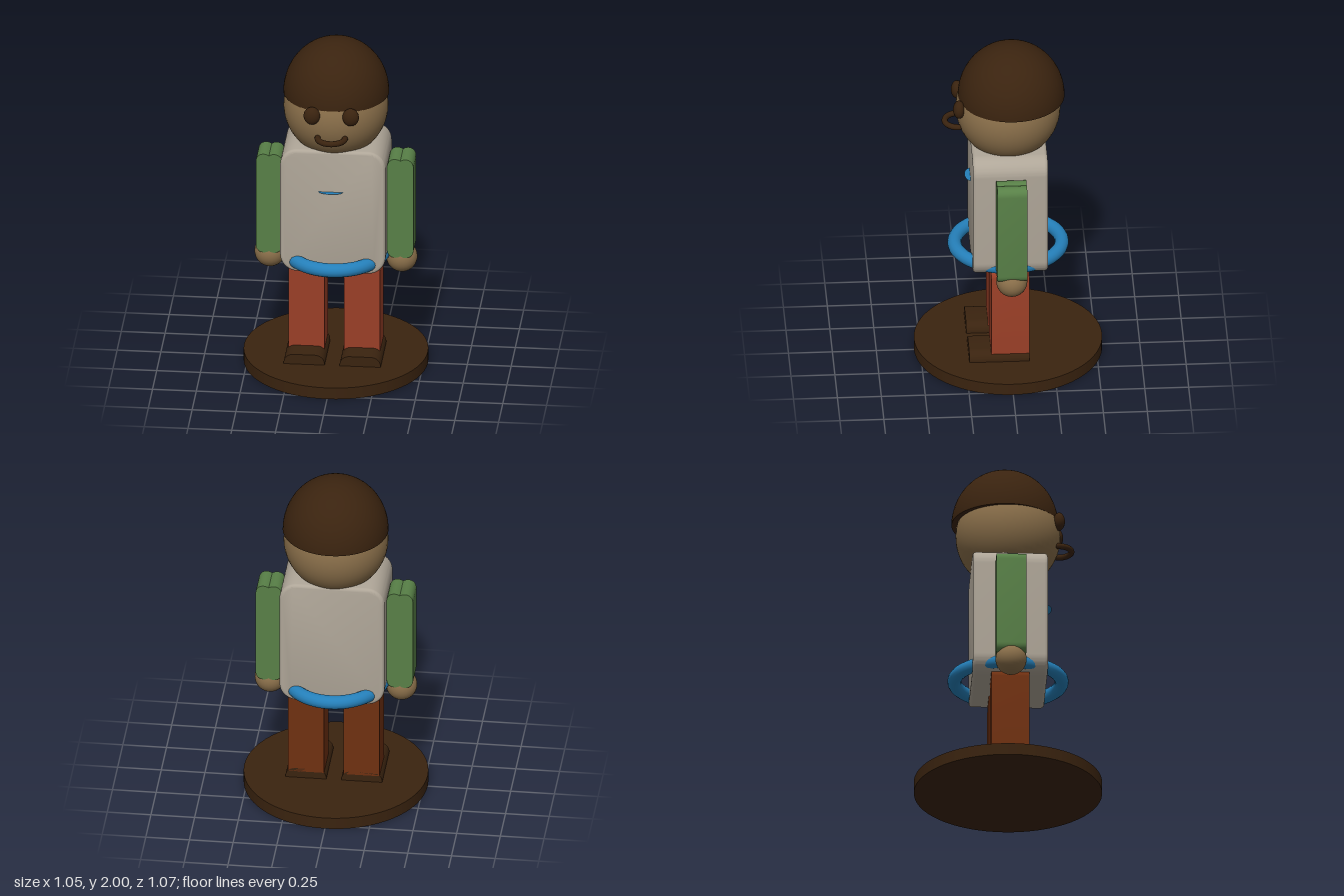
import * as THREE from 'three';
import { toCreasedNormals } from 'three/addons/utils/BufferGeometryUtils.js';

const material = (name, color) => {
  const m = new THREE.MeshStandardMaterial({ color });
  m.name = name;
  return m;
};

// Rounded rectangle; each corner radius may differ between top and bottom
function roundedRect(x0, x1, y0, y1, top, bottom) {
  const s = new THREE.Shape();
  s.moveTo(x0 + bottom, y0);
  s.lineTo(x1 - bottom, y0);
  if (bottom) s.absarc(x1 - bottom, y0 + bottom, bottom, -Math.PI / 2, 0);
  s.lineTo(x1, y1 - top);
  s.absarc(x1 - top, y1 - top, top, 0, Math.PI / 2);
  s.lineTo(x0 + top, y1);
  s.absarc(x0 + top, y1 - top, top, Math.PI / 2, Math.PI);
  s.lineTo(x0, y0 + bottom);
  if (bottom) s.absarc(x0 + bottom, y0 + bottom, bottom, Math.PI, Math.PI * 1.5);
  return s;
}

// Extrude a front outline from z0 to z1, with an optional rounded rim
function slab(shape, z0, z1, bevel = 0) {
  const geo = new THREE.ExtrudeGeometry(shape, {
    depth: z1 - z0 - 2 * bevel, curveSegments: 10,
    bevelEnabled: bevel > 0, bevelSize: bevel, bevelThickness: bevel,
    bevelOffset: -bevel, bevelSegments: 4,
  });
  geo.translate(0, 0, z0 + bevel);
  return toCreasedNormals(geo, 0.6);
}

// Second material on triangles facing the back or the model's right
function splitLegFaces(geo) {
  const p = geo.attributes.position;
  const t = new THREE.Triangle(), n = new THREE.Vector3();
  geo.clearGroups();
  for (let i = 0; i < p.count; i += 3) {
    t.setFromAttributeAndIndices(p, i, i + 1, i + 2);
    t.getNormal(n);
    geo.addGroup(i, 3, n.z < -0.5 || n.x < -0.5 ? 1 : 0);
  }
  return geo;
}

// Sleeve outline with two soft bumps at each end
function armShape(x0, x1, y0, y1) {
  const c = (x0 + x1) / 2, b = 0.05;
  const s = new THREE.Shape();
  s.moveTo(x1, y0 + b);
  s.lineTo(x1, y1 - b);
  s.bezierCurveTo(x1, y1 - 0.01, c + 0.035, y1 + 0.012, c, y1 - 0.012);
  s.bezierCurveTo(c - 0.035, y1 + 0.012, x0, y1 - 0.01, x0, y1 - b);
  s.lineTo(x0, y0 + b);
  s.bezierCurveTo(x0, y0 + 0.01, c - 0.035, y0 - 0.012, c, y0 + 0.012);
  s.bezierCurveTo(c + 0.035, y0 - 0.012, x1, y0 + 0.01, x1, y0 + b);
  return s;
}

export function createModel() {
  const shirt = material('shirt grey', 0xafa698);
  const green = material('sleeve green', 0x588047);
  const red = material('trouser red', 0x9a3f27);
  const rust = material('trouser rust', 0x6f3011);
  const dark = material('dark brown', 0x3a230f);
  const skin = material('skin', 0x8a6f4a);
  const blue = material('belt blue', 0x2580ba);
  blue.side = THREE.DoubleSide;

  const model = new THREE.Group();
  model.name = 'figurine';
  const add = (name, geo, mat, x = 0, y = 0, z = 0) => {
    const mesh = new THREE.Mesh(geo, mat);
    mesh.name = name;
    mesh.position.set(x, y, z);
    model.add(mesh);
    return mesh;
  };

  // Round stand
  add('stand', new THREE.CylinderGeometry(0.525, 0.525, 0.07, 64), dark, 0, 0.035)
    .scale.z = 1.02;

  // Body
  add('torso', slab(roundedRect(-0.3, 0.3, 0.64, 1.405, 0.1, 0.1), -0.213, 0.215, 0.02), shirt);

  // Belt ring, slightly narrower across
  const belt = new THREE.TorusGeometry(0.305, 0.04, 16, 64);
  belt.rotateX(Math.PI / 2);
  add('belt', belt, blue, 0, 0.7).scale.x = 0.91;

  // Small flat tab on the chest
  const tab = new THREE.CircleGeometry(0.07, 16, 0, Math.PI);
  tab.scale(1, 0.5, 1);
  tab.rotateX(Math.PI / 2);
  add('chestTab', tab, blue, -0.01, 1.15, 0.213);

  // Paired limbs
  for (const [side, s] of [['left', 1], ['right', -1]]) {
    const span = (a, b) => (s > 0 ? [a, b] : [-b, -a]);
    const leg = slab(roundedRect(...span(0.056, 0.262), 0.11, 0.66, 0.05, 0), -0.106, 0.11);
    add(side + 'Leg', splitLegFaces(leg), [red, rust]);
    add(side + 'Shoe', slab(roundedRect(...span(0.043, 0.277), 0.065, 0.13, 0.055, 0), -0.106, 0.235), dark);
    add(side + 'Arm', slab(armShape(...span(0.3, 0.45), 0.69, 1.312), -0.085, 0.085), green);
    add(side + 'Hand', new THREE.SphereGeometry(0.089, 28, 20), skin, s * 0.376, 0.666);
    add(side + 'Eye', new THREE.SphereGeometry(1, 24, 16), dark, s * 0.111, 1.658, 0.285)
      .scale.set(0.047, 0.053, 0.034);
  }

  // Head
  add('head', new THREE.SphereGeometry(0.298, 48, 32), skin, 0, 1.605);

  // Domed hair with a closed underside
  const hair = add('hair', new THREE.SphereGeometry(0.301, 48, 20, 0, Math.PI * 2, 0, Math.PI / 2),
    dark, 0, 1.678, -0.018);
  hair.scale.set(1, 0.322 / 0.301, 1.01);
  const underside = new THREE.CircleGeometry(0.301, 48);
  underside.rotateX(Math.PI / 2);
  add('hairUnderside', underside, dark, 0, 1.678, -0.018).scale.z = 1.01;

  // Mouth: half ring curving forward, with rounded ends
  const mouth = new THREE.TorusGeometry(0.078, 0.017, 12, 32, Math.PI);
  mouth.rotateX(Math.PI / 2);
  add('mouth', mouth, dark, 0, 1.52, 0.283);
  for (const s of [1, -1]) add('mouthEnd', new THREE.SphereGeometry(0.017, 12, 8), dark, s * 0.078, 1.52, 0.283);

  return model;
}
